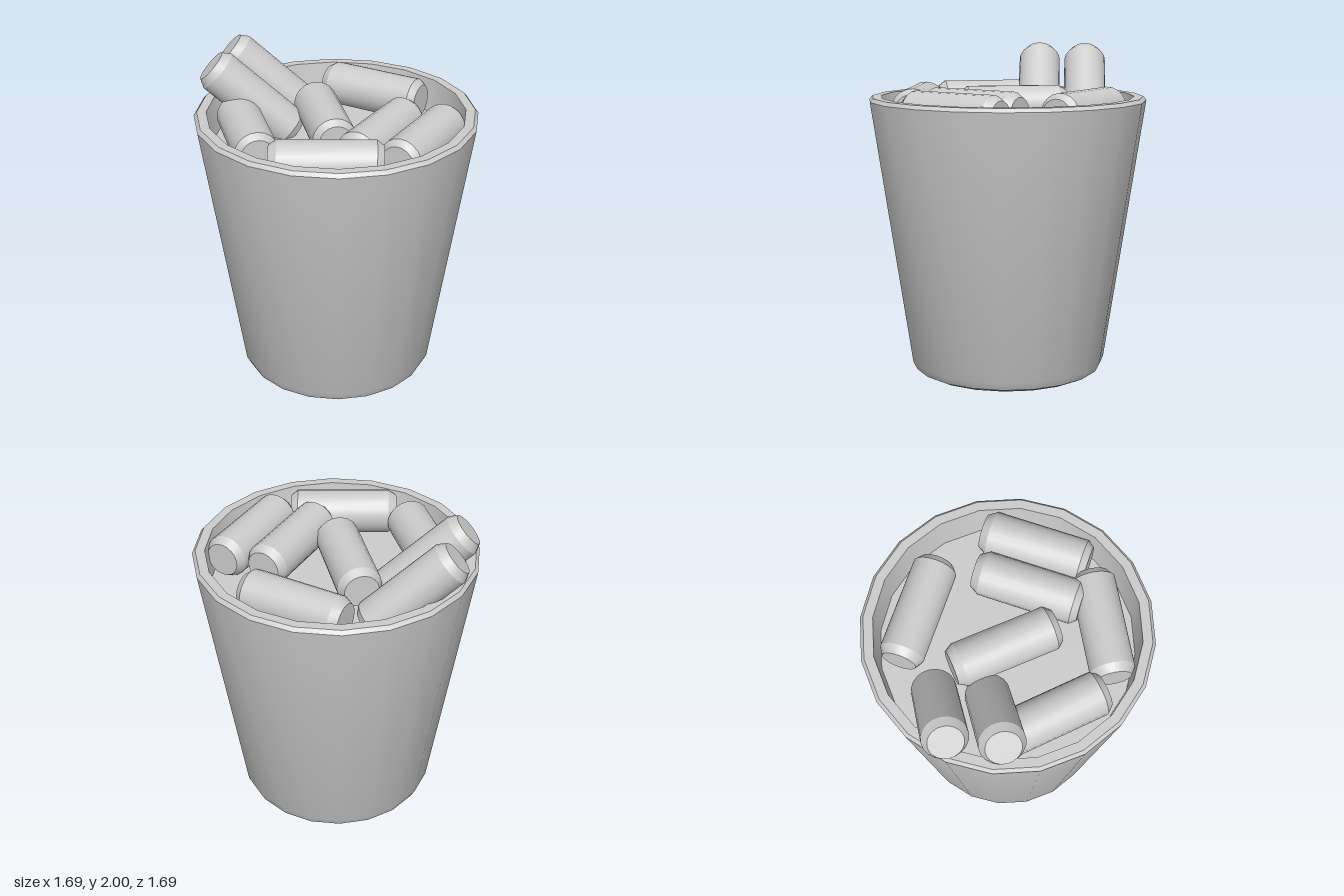
import * as THREE from 'three';
import { toCreasedNormals } from 'three/addons/utils/BufferGeometryUtils.js';

const SIDES = 20;
const material = new THREE.MeshStandardMaterial({ color: 0xcccccc });

// Revolved part from [radius, y] pairs, with sharp edges kept
function lathe(name, profile) {
  const points = profile.map(([r, y]) => new THREE.Vector2(r, y));
  const geometry = toCreasedNormals(new THREE.LatheGeometry(points, SIDES), 0.45);
  const mesh = new THREE.Mesh(geometry, material);
  mesh.name = name;
  return mesh;
}

// Can: centred on its own y axis, shoulders tapered at both ends
const CAN_RADIUS = 0.132;
const CAN_LENGTH = 0.65;
const half = CAN_LENGTH / 2;
const canProfile = [
  [0, -half], [0.1, -half], [CAN_RADIUS, -half + 0.04],
  [CAN_RADIUS, half - 0.05], [0.102, half], [0, half],
];

export function createModel() {
  const model = new THREE.Group();
  model.name = 'bucketOfCans';

  // Tapered bucket with a rounded foot, bevelled rim and inner wall
  model.add(lathe('bucket', [
    [0, 0], [0.54, 0], [0.58, 0.02], [0.605, 0.07],
    [0.847, 1.685], [0.828, 1.707], [0.772, 1.707],
    [0.745, 1.5], [0.54, 0.08], [0, 0.08],
  ]));

  // Flat surface the cans lie on
  const filling = new THREE.Mesh(new THREE.CircleGeometry(0.747, SIDES), material);
  filling.name = 'filling';
  filling.rotation.x = -Math.PI / 2;
  filling.position.y = 1.5;
  model.add(filling);

  const cans = new THREE.Group();
  cans.name = 'cans';
  model.add(cans);
  const up = new THREE.Vector3(0, 1, 0);
  const can = lathe('can', canProfile);
  const addCan = (name, centre, direction) => {
    const mesh = can.clone();
    mesh.name = name;
    mesh.position.copy(centre);
    mesh.quaternion.setFromUnitVectors(up, direction.normalize());
    cans.add(mesh);
  };

  // Lying cans: centre x, z and direction x, z
  const lying = [
    [0.092, -0.526, -0.61, -0.14],
    [-0.077, -0.012, -0.265, -0.475],
    [0.305, 0.095, 0.14, -0.58],
    [0.565, 0.115, 0.14, -0.58],
    [0.105, 0.54, -0.55, 0.155],
    [-0.455, 0.3, -0.31, -0.51],
  ];
  for (const [x, z, dx, dz] of lying) {
    addCan('lyingCan', new THREE.Vector3(x, 1.765 - CAN_RADIUS, z), new THREE.Vector3(dx, 0, dz));
  }

  // Two cans leaning over the rim, placed from the middle of their upper ends
  for (const z of [-0.255, 0.055]) {
    const direction = new THREE.Vector3(-0.705, 0.67, 0.225).normalize();
    const centre = new THREE.Vector3(-0.765, 1.925, z).addScaledVector(direction, -half);
    addCan('leaningCan', centre, direction);
  }
  return model;
}
